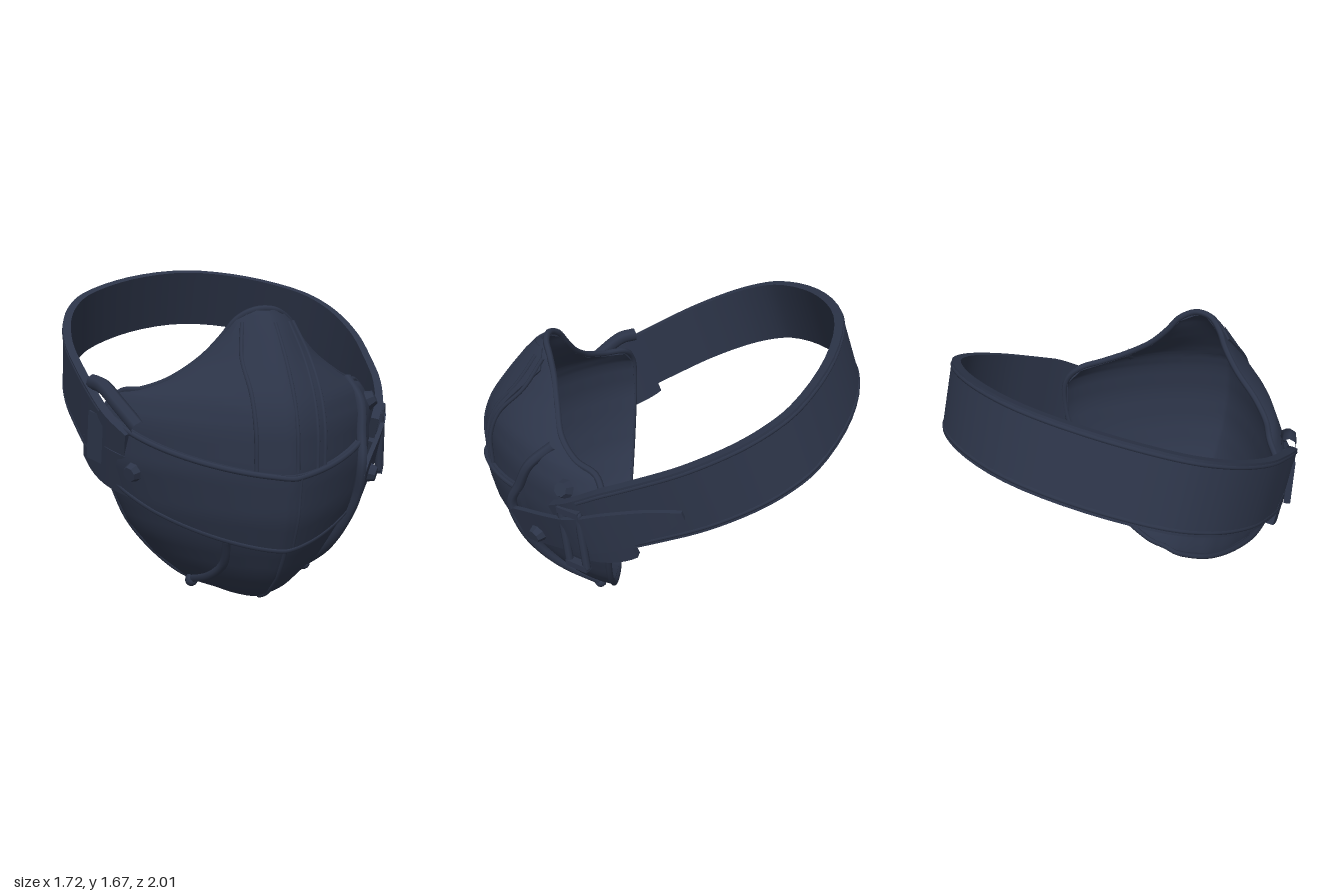
import * as THREE from 'three';
import { toCreasedNormals } from 'three/addons/utils/BufferGeometryUtils.js';

const V = (x, y, z) => new THREE.Vector3(x, y, z);
const leather = new THREE.MeshStandardMaterial({ color: 0x2c3448 });
leather.name = 'dark navy leather';

// Shell rows from nose tip to chin: height, half width, rim z, front z
const ROWS = [
  [1.505, 0.06, 0.585, 0.62], [1.46, 0.14, 0.555, 0.67], [1.38, 0.2, 0.53, 0.74],
  [1.28, 0.295, 0.505, 0.82], [1.18, 0.44, 0.465, 0.89], [1.125, 0.56, 0.38, 0.92],
  [1.1, 0.645, 0.27, 0.935], [1.0, 0.725, 0.23, 0.96], [0.8, 0.735, 0.225, 0.97],
  [0.6, 0.68, 0.23, 0.94], [0.43, 0.61, 0.235, 0.875], [0.25, 0.475, 0.24, 0.77],
  [0.12, 0.33, 0.25, 0.64], [0.045, 0.18, 0.255, 0.5], [0.016, 0.1, 0.26, 0.4], [0.006, 0.03, 0.265, 0.28],
];
const P = 1.43; // exponent of the pointed horizontal section

function row(y) {
  let i = 0;
  while (i < ROWS.length - 2 && y < ROWS[i + 1][0]) i++;
  const a = ROWS[i], b = ROWS[i + 1];
  const t = THREE.MathUtils.clamp((a[0] - y) / (a[0] - b[0]), 0, 1);
  return [1, 2, 3].map(k => a[k] + (b[k] - a[k]) * t);
}

// Point on the shell at angle a (0 = front, +-PI/2 = rim) and height y
function shellAt(a, y) {
  const [w, zr, zf] = row(y);
  const s = Math.sin(a), c = Math.max(0, Math.cos(a));
  return V(w * Math.sign(s) * Math.abs(s) ** (2 / P), y, zr + (zf - zr) * c ** (2 / P));
}
const angleOf = (x, y) =>
  Math.sign(x) * Math.asin(Math.min(1, Math.abs(x) / row(y)[0]) ** (P / 2));

// Outward normal of any surface f(u, v)
function normalOf(f, u, v) {
  const e = 0.004, lo = t => Math.max(0, t - e), hi = t => Math.min(1, t + e);
  const du = f(hi(u), v).sub(f(lo(u), v)), dv = f(u, hi(v)).sub(f(u, lo(v)));
  return du.cross(dv).normalize();
}

// Closed sheet of thickness th over the surface f, lifted by base
function slab(f, n, m, base, th) {
  const pos = [], idx = [], R = 2 * (m + 1);
  for (let i = 0; i <= n; i++) {
    for (let k = 0; k < R; k++) {
      const j = k <= m ? k : 2 * m + 1 - k, u = i / n, v = j / m;
      const p = f(u, v).addScaledVector(normalOf(f, u, v), base + (k <= m ? th : 0));
      pos.push(p.x, p.y, p.z);
    }
  }
  const quad = (a, b, c, d) => idx.push(a, b, c, a, c, d);
  for (let i = 0; i < n; i++)
    for (let k = 0; k < R; k++) {
      const k2 = (k + 1) % R;
      quad(i * R + k, (i + 1) * R + k, (i + 1) * R + k2, i * R + k2);
    }
  for (let k = 0; k < m; k++) {
    const e = n * R;
    quad(k, k + 1, 2 * m - k, 2 * m + 1 - k);
    quad(e + 2 * m + 1 - k, e + 2 * m - k, e + k + 1, e + k);
  }
  const g = new THREE.BufferGeometry();
  g.setAttribute('position', new THREE.Float32BufferAttribute(pos, 3));
  g.setIndex(idx);
  return toCreasedNormals(g, 0.7);
}

// Strap surface along an [x, z] contour, leaning forward at its upper edge
function ribbon(contour, yc, half) {
  const c = new THREE.CatmullRomCurve3(contour.map(([x, z]) => V(x, 0, z)));
  return (u, v) => {
    const p = c.getPoint(u), s = (v * 2 - 1) * half(u);
    return V(p.x, yc(p.z) + s * 0.94, p.z + s * 0.36);
  };
}
const mirror = c => c.map(([x, z]) => [-x, z]).reverse();

export function createModel() {
  const model = new THREE.Group();
  model.name = 'mask';
  const add = (name, geo, parent = model) => {
    const mesh = new THREE.Mesh(geo, leather);
    mesh.name = name;
    parent.add(mesh);
    return mesh;
  };
  const tube = (name, pts, r, closed = false) =>
    add(name, new THREE.TubeGeometry(new THREE.CatmullRomCurve3(pts, closed), pts.length * 6, r, 7, closed));

  // Face shell
  const last = ROWS.length - 1;
  const heightAt = v => {
    const t = (1 - v) * last, i = Math.min(last - 1, Math.floor(t));
    return ROWS[i][0] + (ROWS[i + 1][0] - ROWS[i][0]) * (t - i);
  };
  add('shell', slab((u, v) => shellAt((u - 0.5) * Math.PI, heightAt(v)), 40, last * 3, -0.026, 0.026));
  const rim = s => ROWS.map(([y, w, z]) => V(s * (w - 0.012), Math.max(y, 0.02), z));
  tube('rimBinding', [...rim(1), ...rim(-1).reverse()], 0.017, true);

  // Raised nose panel and its ribs
  add('nosePanel', slab((u, v) => {
    const y = 0.78 + v * 0.7, x = Math.min(0.165, row(y)[0] * 0.85) * (u * 2 - 1);
    return shellAt(angleOf(x, y), y);
  }, 12, 16, -0.005, 0.015));

  // Seams and cords laid on the shell through [x, y, lift] points
  const seam = (name, pts, r) => tube(name, pts.map(([x, y, lift]) => {
    const a = angleOf(x, y), p = shellAt(a, y);
    return p.add(V(Math.sin(a) * lift, 0, Math.cos(a) * lift));
  }), r);
  for (const x of [-0.15, 0.02, 0.13, 0.175])
    seam('noseRib', [1.45, 1.3, 1.15, 1, 0.82].map(y => [x * (y > 1.4 ? 0.75 : 1), y, 0.008]), 0.011);
  seam('bandSeam', [0.8, 0.7, 0.6, 0.45].map(y => [0.03, y, 0.026]), 0.008);
  seam('chinSeam', [0.44, 0.3, 0.2, 0.1, 0.05].map(y => [0.01, y, 0.002]), 0.011);
  seam('rightChinSeam', [[-0.24, 0.46, 0], [-0.23, 0.32, 0], [-0.26, 0.22, 0.005], [-0.3, 0.13, 0.01]], 0.022);
  seam('leftCord', [[0.47, 1.155, 0], [0.48, 1.05, 0.01], [0.45, 0.9, 0.02], [0.415, 0.78, 0.045],
    [0.41, 0.6, 0.045], [0.385, 0.43, 0.025], [0.36, 0.28, 0.01], [0.32, 0.13, 0.01]], 0.027);
  for (const x of [-0.3, 0.32]) {
    const knot = add('cordEnd', new THREE.SphereGeometry(0.034, 10, 8));
    knot.position.copy(shellAt(angleOf(x, 0.13), 0.13)).add(V(Math.sign(x) * 0.01, -0.005, 0.01));
  }

  // Wide band across the mouth
  const bandAngle = u => -1.32 + u * 2.12;
  const band = (u, v) => {
    const a = bandAngle(u), lo = 0.43 + 0.14 * a * a, hi = 0.81 + 0.12 * a * a;
    return shellAt(a, lo + (hi - lo) * v);
  };
  add('frontBand', slab(band, 36, 10, -0.005, 0.032));
  for (const v of [0.03, 0.97])
    tube('bandEdge', Array.from({ length: 20 }, (_, i) => {
      const u = i / 19;
      return band(u, v).addScaledVector(normalOf(band, u, v), 0.02);
    }), 0.014);

  // Head strap running round the back
  const side = [[0.622, 0.445], [0.69, 0.345], [0.738, 0.22], [0.783, 0], [0.808, -0.2],
    [0.79, -0.4], [0.745, -0.53], [0.655, -0.655], [0.365, -0.825]];
  const strap = ribbon([...side, [0, -0.9], ...mirror(side)], z => 0.96 + 0.5 * (0.17 - z),
    u => 0.125 + 0.05 * Math.min(1, Math.min(u, 1 - u) * 8));
  add('headStrap', slab(strap, 72, 6, 0, 0.042));
  for (const v of [0.06, 0.94])
    tube('strapEdge', Array.from({ length: 41 }, (_, i) => {
      const u = 0.08 + 0.84 * i / 40;
      return strap(u, v).addScaledVector(normalOf(strap, u, v), 0.034);
    }), 0.012);

  // Cheek tabs below the strap
  const tab = [[0.6, 0.45], [0.68, 0.34], [0.73, 0.22], [0.765, 0.08]];
  for (const [name, c, rear] of [['leftCheekTab', tab, u => u], ['rightCheekTab', mirror(tab), u => 1 - u]])
    add(name, slab(ribbon(c, z => 0.775 + 0.25 * (0.22 - z), u => 0.11 - 0.05 * rear(u) ** 4), 12, 4, 0, 0.036));

  // Tapered tongue that passes through the left buckle
  const tongue = [[0.435, 0.73], [0.535, 0.61], [0.65, 0.472], [0.738, 0.35], [0.79, 0.2], [0.828, 0], [0.845, -0.15]];
  add('strapTongue', slab(ribbon(tongue, z => 0.69 + 0.48 * (0.64 - z),
    u => u < 0.06 ? 0.08 + 0.5 * u : u < 0.65 ? 0.11 : 0.11 - 0.09 * ((u - 0.65) / 0.35) ** 1.5), 32, 4, 0, 0.022));

  // Left buckle frame
  const buckle = new THREE.Group();
  buckle.name = 'leftBuckle';
  for (const s of [-1, 1]) {
    add('buckleSide', new THREE.CapsuleGeometry(0.02, 0.31, 4, 8), buckle).position.x = s * 0.055;
    add('buckleBar', new THREE.BoxGeometry(0.13, 0.035, 0.04), buckle).position.y = s * 0.16;
  }
  buckle.position.set(0.738, 0.8, 0.38);
  buckle.rotation.set(0, 1.02, 0.1);
  model.add(buckle);

  // Right keeper plate and slanted loop
  const keeper = add('rightKeeper', new THREE.BoxGeometry(0.12, 0.24, 0.035));
  keeper.position.set(-0.755, 0.89, 0.3);
  keeper.rotation.set(0, -1.09, -0.12);
  tube('rightLoop', [V(-0.76, 1.15, 0.22), V(-0.725, 1.14, 0.3), V(-0.665, 1.06, 0.42), V(-0.6, 0.97, 0.53)], 0.038);

  // Faceted rivets
  for (const [x, y, lift] of [[0.53, 0.69, 0.06], [0.635, 1.02, 0.015], [-0.6, 0.76, 0.035]]) {
    const a = angleOf(x, y), t = a / Math.PI + 0.5;
    const n = normalOf((u, v) => shellAt((u - 0.5) * Math.PI, y + (v - 0.5) * 0.2), t, 0.5);
    const rivet = add('rivet', toCreasedNormals(new THREE.CylinderGeometry(0.036, 0.054, 0.05, 8), 0.4));
    rivet.position.copy(shellAt(a, y)).addScaledVector(n, lift);
    rivet.quaternion.setFromUnitVectors(V(0, 1, 0), n);
  }
  return model;
}
